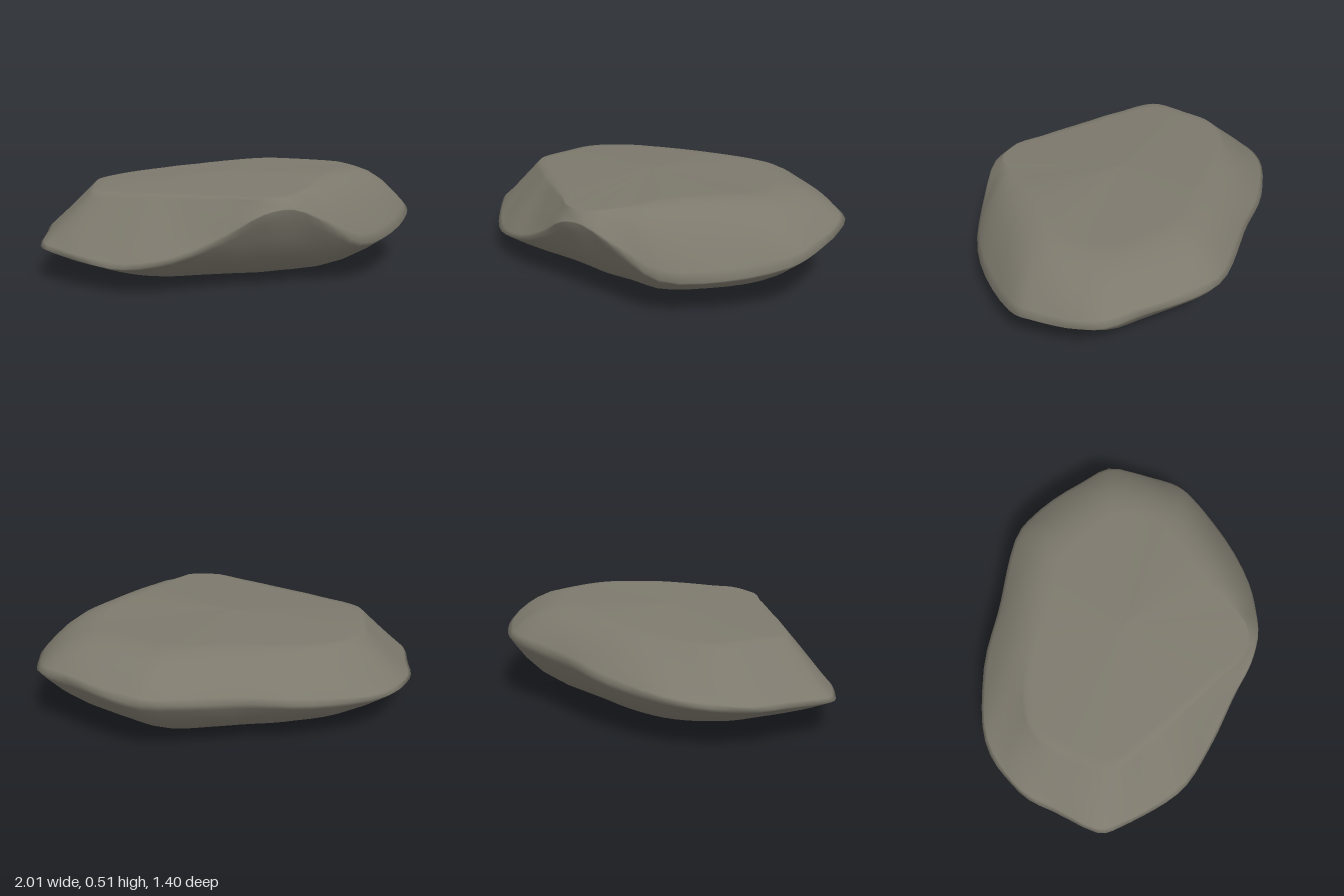
import * as THREE from 'three';

// Stations around the stone: rim x, rim z, rim height, shoulder fraction, shoulder height
const STATIONS = [
  [1.005, -0.1, 0.30, 0.64, 0.495], [0.99, 0.08, 0.28, 0.63, 0.5], [0.95, 0.21, 0.25, 0.61, 0.505],
  [0.74, 0.44, 0.21, 0.6, 0.508], [0.49, 0.625, 0.21, 0.64, 0.498], [0.29, 0.668, 0.32, 0.78, 0.482],
  [0.1, 0.70, 0.41, 0.92, 0.467], [-0.04, 0.68, 0.39, 0.92, 0.46], [-0.2, 0.635, 0.29, 0.83, 0.457],
  [-0.45, 0.56, 0.17, 0.73, 0.45], [-0.67, 0.48, 0.13, 0.67, 0.445], [-0.83, 0.33, 0.14, 0.685, 0.44],
  [-0.96, 0.18, 0.16, 0.72, 0.435], [-1.005, 0.07, 0.17, 0.73, 0.435], [-0.95, -0.18, 0.19, 0.73, 0.44],
  [-0.89, -0.36, 0.2, 0.74, 0.44], [-0.79, -0.5, 0.22, 0.72, 0.442], [-0.6, -0.625, 0.24, 0.67, 0.452],
  [-0.3, -0.69, 0.27, 0.61, 0.468], [0, -0.69, 0.30, 0.57, 0.482], [0.25, -0.695, 0.32, 0.57, 0.49],
  [0.52, -0.68, 0.33, 0.58, 0.495], [0.65, -0.595, 0.34, 0.6, 0.495], [0.85, -0.42, 0.35, 0.62, 0.495],
  [0.975, -0.28, 0.34, 0.63, 0.495],
];
const SEGMENTS = STATIONS.length * 3;
const CENTRE_Y = 0.497;

const clamp = (v) => THREE.MathUtils.clamp(v, 0, 1);
const loop = (points) => new THREE.CatmullRomCurve3(points, true);

function stoneGeometry() {
  const rimCurve = loop(STATIONS.map(([x, z, y]) => new THREE.Vector3(x, y, z)));
  const shoulderCurve = loop(STATIONS.map(([, , , f, y]) => new THREE.Vector3(f, y, 0)));

  // Each ring returns [fraction of the rim radius, height]
  const rings = [];
  for (const u of [0.001, 0.35, 0.7, 0.93, 1]) // gently sloping top
    rings.push((rim, s) => [u * s.x, THREE.MathUtils.lerp(CENTRE_Y, s.y, u)]);
  for (const t of [0.08, 0.25, 0.45, 0.65, 0.82, 0.93, 1]) // flanks: straight at the left, round elsewhere
    rings.push((rim, s) => {
      const round = clamp((rim.x + 0.7) * 1.5) * Math.max(clamp((0.35 - rim.z) * 4), clamp((rim.x - 0.1) * 4));
      return [THREE.MathUtils.lerp(s.x, 1, t), THREE.MathUtils.lerp(s.y, rim.y, t ** (1 + 1.2 * round))];
    });
  for (const f of [0.97, 0.9, 0.8, 0.68, 0.54, 0.35, 0.001]) // bowl-shaped underside
    rings.push((rim) => [f, rim.y * (0.88 * f ** (3.4 + (rim.y - 0.13) * 5) + 0.12 * f * f)]);

  const positions = [];
  const indices = [];
  rings.forEach((ring, i) => {
    for (let j = 0; j < SEGMENTS; j++) {
      const rim = rimCurve.getPoint(j / SEGMENTS);
      const [f, y] = ring(rim, shoulderCurve.getPoint(j / SEGMENTS));
      // slight weathering on the flanks
      const wear = 1 + 0.005 * f ** 6 * Math.sin(j * 1.1 + i * 0.9);
      positions.push(rim.x * f * wear, y, rim.z * f * wear);
      if (i === rings.length - 1) continue;
      const a = i * SEGMENTS + j;
      const b = i * SEGMENTS + ((j + 1) % SEGMENTS);
      indices.push(a, b, a + SEGMENTS, b, b + SEGMENTS, a + SEGMENTS);
    }
  });

  const geometry = new THREE.BufferGeometry();
  geometry.setAttribute('position', new THREE.Float32BufferAttribute(positions, 3));
  geometry.setIndex(indices);
  geometry.computeVertexNormals();
  return geometry;
}

export function createModel() {
  const group = new THREE.Group();
  group.name = 'flatRock';
  const stone = new THREE.Mesh(stoneGeometry(), new THREE.MeshStandardMaterial({ color: 0x7d796d }));
  stone.name = 'stone';
  group.add(stone);
  return group;
}
